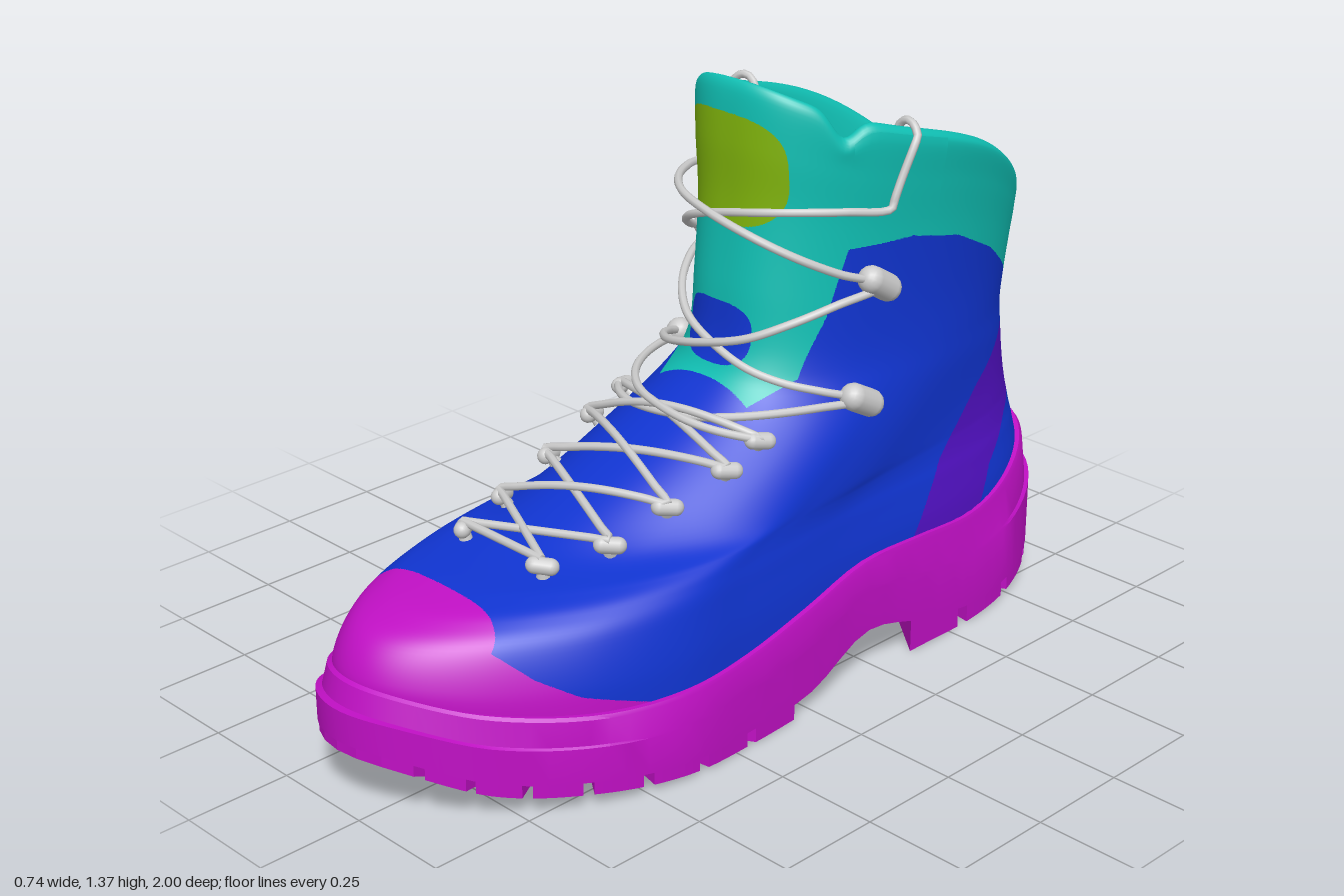
import * as THREE from 'three';
import { toCreasedNormals } from 'three/addons/utils/BufferGeometryUtils.js';

const { clamp, lerp, smoothstep } = THREE.MathUtils;
const mat = (color) => new THREE.MeshStandardMaterial({ color, side: THREE.DoubleSide });
const MAT = {
  toeCap: mat(0xc010c4), collar: mat(0x10c0b4), upper: mat(0x1034d0),
  heelBand: mat(0x5010c0), tonguePatch: mat(0x80b40c), metal: mat(0xcccccc),
};

// Smooth lookup in an evenly spaced list
function spline(a, t) {
  const n = a.length - 1, i = clamp(Math.floor(t), 0, n - 1), f = t - i;
  const [p, q, r, s] = [a[Math.max(i - 1, 0)], a[i], a[i + 1], a[Math.min(i + 2, n)]];
  return q + 0.5 * f * (r - p + f * (2 * p - 5 * q + 4 * r - s + f * (3 * (q - r) + s - p)));
}
// Straight-line lookup in a list of [x, y] with x rising
function line(a, x) {
  let i = 1;
  while (i < a.length - 1 && x > a[i][0]) i++;
  const [p, q] = [a[i - 1], a[i]];
  return lerp(p[1], q[1], clamp((x - p[0]) / (q[0] - p[0]), 0, 1));
}
// Grid surface from f(a, b), optionally closed in a
function grid(f, na, nb, wrap = false) {
  const pos = [], idx = [], cols = wrap ? na : na + 1;
  for (let j = 0; j <= nb; j++)
    for (let i = 0; i < cols; i++) pos.push(...f(i / na, j / nb).toArray());
  for (let j = 0; j < nb; j++)
    for (let i = 0; i < na; i++) {
      const k = (i + 1) % cols, a = j * cols + i, b = j * cols + k;
      idx.push(a, b, a + cols, b, b + cols, a + cols);
    }
  const g = new THREE.BufferGeometry();
  g.setAttribute('position', new THREE.Float32BufferAttribute(pos, 3));
  g.setIndex(idx);
  g.computeVertexNormals();
  return g;
}

// Tables along the foot, heel to toe
const byZ = (a) => (z) => spline(a, (clamp(z, -1, 1) + 1) * 5);
const width = byZ([0.45, 0.415, 0.36, 0.325, 0.32, 0.34, 0.365, 0.402, 0.425, 0.425, 0.42]);
const middle = byZ([0.045, 0.035, 0.035, 0.03, 0.02, 0.01, 0.005, 0, -0.02, -0.045, -0.065]);
const soleTop = byZ([0.4, 0.33, 0.278, 0.283, 0.288, 0.25, 0.215, 0.205, 0.21, 0.24, 0.3]);
const soleBase = byZ([0.09, 0.055, 0.04, 0.07, 0.115, 0.045, 0.035, 0.04, 0.06, 0.09, 0.165]);
const tread = byZ([0.06, 0.02, 0, 0, 0, 0, 0, 0.01, 0.03, 0.06, 0.14]);

// Upper rings from the sole to the collar and down the lining:
// front z, front y, back z, back y, lift off the sole line, foot scale, shaft blend, shaft half width
const RINGS = [
  [0.955, 0.25, -0.955, 0.36, 0, 0.95, 0, 0.28], [0.955, 0.335, -0.95, 0.39, 0.5, 0.925, 0, 0.28],
  [0.915, 0.39, -0.945, 0.42, 0.82, 0.88, 0.04, 0.28], [0.83, 0.413, -0.94, 0.44, 0.95, 0.845, 0.1, 0.28],
  [0.7, 0.425, -0.935, 0.47, 1, 0.825, 0.22, 0.28], [0.5, 0.455, -0.93, 0.5, 1, 0.81, 0.38, 0.28],
  [0.28, 0.55, -0.925, 0.55, 1, 0.79, 0.6, 0.274], [0.05, 0.67, -0.92, 0.63, 1, 0.77, 0.85, 0.264],
  [-0.03, 0.76, -0.922, 0.7, 1, 0.77, 1, 0.255], [-0.05, 0.92, -0.935, 0.76, 1, 0.77, 1, 0.25],
  [-0.065, 1.1, -0.945, 0.81, 1, 0.77, 1, 0.256], [-0.065, 1.24, -0.948, 0.85, 1, 0.77, 1, 0.27],
  [-0.075, 1.355, -0.94, 0.89, 1, 0.77, 1, 0.28], [-0.1, 1.345, -0.905, 0.89, 1, 0.77, 1, 0.238],
  [-0.11, 1.1, -0.89, 0.72, 1, 0.77, 1, 0.215],
];
const COLS = RINGS[0].map((_, k) => RINGS.map((r) => r[k]));

// Point on the upper: angle t from the toe, ring number v
function skin(t, v) {
  const [zf, yf, zb, yb, lift, s, k, w] = COLS.map((c) => spline(c, v));
  const c = Math.cos(t), sn = Math.sin(t), z = lerp(zb, zf, (1 + c) / 2);
  // The shaft is blunter in front than behind
  const blunt = Math.sign(sn) * Math.abs(sn) ** (1 - 0.22 * smoothstep(c, -0.2, 0.6));
  const x = lerp(middle(c) + sn * width(c) * s, 0.014 + blunt * w, k);
  const hump = smoothstep(v, 8, 12) * (1 - c * c) * (0.08 - 0.1 * c);
  const notch = 0.05 * smoothstep(v, 11, 12) * Math.exp(-(((Math.abs(t) - 0.8) / 0.11) ** 2));
  const y = lerp(soleTop(z) - 0.03, lerp(yb, yf, (1 + c) / 2), clamp(lift, 0, 1)) + hump - notch;
  return new THREE.Vector3(x, y, z);
}
function skinNormal(t, v) {
  const e = 0.02;
  const du = skin(t + e, v).sub(skin(t - e, v));
  const dv = skin(t, v + e).sub(skin(t, v - e));
  return du.cross(dv).normalize();
}
const above = (t, v, d) => skin(t, v).addScaledVector(skinNormal(t, v), d);

// Borders of the coloured areas, seen from the side
const collarLine = [[-1, 0.62], [-0.93, 0.68], [-0.82, 0.8], [-0.7, 0.89], [-0.55, 0.965], [-0.4, 1],
  [-0.23, 1], [-0.18, 0.85], [-0.11, 0.72], [0, 0.67], [0.02, 2]];
const bandTop = [[-0.93, 0.68], [-0.8, 0.645], [-0.65, 0.56], [-0.5, 0.43], [-0.37, 0.27], [-0.3, 0]];
const bandLow = [[-0.93, 0.49], [-0.8, 0.44], [-0.68, 0.36], [-0.62, 0.27], [-0.55, 0]];
const toeLine = [[0.2, 0.46], [0.25, 0.62], [0.3, 0.7], [0.36, 0.76], [0.42, 0.71]];
const blob = (x, y, rx, ry) => Math.abs(x / rx) ** 3 + Math.abs(y / ry) ** 3 < 1;
function area({ x, y, z }) {
  if (z > line(toeLine, y)) return 'toeCap';
  if (z > -0.22 && blob(x + 0.005, y - 1.175, 0.16, 0.125)) return 'tonguePatch';
  if (z > -0.2 && y > 0.73 && blob(x, y - 0.805, 0.1, 0.07)) return 'upper';
  if (y > line(collarLine, z)) return 'collar';
  if (z < -0.3 && y < line(bandTop, z) && y > line(bandLow, z)) return 'heelBand';
  return 'upper';
}
// Sort a triangle into its area, splitting it finer along the borders
function sortTriangle(tri, depth, parts) {
  const names = tri.map((c) => area(c.p));
  if (depth === 0 || names.every((n) => n === names[0])) {
    const centre = new THREE.Vector3();
    for (const c of tri) centre.addScaledVector(c.p, 1 / 3);
    const part = (parts[area(centre)] ??= { pos: [], nor: [] });
    for (const c of tri) {
      part.pos.push(c.p.x, c.p.y, c.p.z);
      part.nor.push(c.n.x, c.n.y, c.n.z);
    }
    return;
  }
  const half = (u, w) => ({ p: u.p.clone().lerp(w.p, 0.5), n: u.n.clone().lerp(w.n, 0.5).normalize() });
  const [a, b, c] = tri, ab = half(a, b), bc = half(b, c), ca = half(c, a);
  for (const t of [[a, ab, ca], [ab, b, bc], [ca, bc, c], [ab, bc, ca]]) sortTriangle(t, depth - 1, parts);
}

// Block over a flat outline, fitted between the tread and the sole
function slab(points) {
  const shape = new THREE.Shape(points.map(([x, z]) => new THREE.Vector2(x, -z)));
  const g = new THREE.ExtrudeGeometry(shape, { depth: 1, bevelEnabled: false }).rotateX(-Math.PI / 2);
  const p = g.attributes.position;
  for (let i = 0; i < p.count; i++) {
    const z = p.getZ(i);
    p.setY(i, p.getY(i) > 0.5 ? soleBase(z) + 0.005 : tread(z));
  }
  g.computeVertexNormals();
  return g;
}
const rim = (t, s) => [middle(Math.cos(t)) + s * width(Math.cos(t)) * Math.sin(t), s * Math.cos(t)];
// Edge lug between two angles, running in towards a centre point
function lug(t0, t1, zc, depth) {
  const outer = [], inner = [];
  for (let i = 0; i <= 6; i++) {
    const [x, z] = rim(lerp(t0, t1, i / 6), 0.997);
    outer.push([x, z]);
    inner.unshift([lerp(x, 0, depth), lerp(z, zc, depth)]);
  }
  return slab([...outer, ...inner]);
}

export function createModel() {
  const boot = new THREE.Group();
  const add = (name, geo, material, parent = boot) => {
    const m = new THREE.Mesh(geo, material);
    m.name = name;
    parent.add(m);
    return m;
  };

  // Upper: one skin, split by coloured area
  const NU = 220, NV = 112, VMAX = RINGS.length - 1, parts = {}, q = new THREE.Vector3();
  const whole = grid((a, b) => skin((a * 2 - 1) * Math.PI, b * VMAX), NU, NV, true);
  const { position: p, normal } = whole.attributes, idx = [...whole.index.array];
  const corner = (i) => ({ p: new THREE.Vector3().fromBufferAttribute(p, i), n: new THREE.Vector3().fromBufferAttribute(normal, i) });
  for (let i = 0; i < idx.length; i += 3) sortTriangle(idx.slice(i, i + 3).map(corner), 3, parts);
  for (const [name, { pos, nor }] of Object.entries(parts)) {
    const g = new THREE.BufferGeometry();
    g.setAttribute('position', new THREE.Float32BufferAttribute(pos, 3));
    g.setAttribute('normal', new THREE.Float32BufferAttribute(nor, 3));
    add(name, g, MAT[name]);
  }
  // Collar flaps beside the tongue
  for (const s of [-1, 1])
    add('collarFlap', grid((a, b) => above(s * lerp(0.85, 1.45, a), lerp(10.2, 12, b), 0.012), 12, 12), MAT.collar);

  // Sole wall: scale, height between base and top, inset of the ledge at toe and heel
  const rows = [[1, 0, 0], [1, 0.55, 0], [1, 0.58, 0.018], [0.985, 0.95, 0.018], [0.975, 1, 0.018], [0.9, 1, 0]];
  const wall = grid((a, b) => {
    const [s, h, inset] = rows[Math.round(b * (rows.length - 1))];
    const t = (a * 2 - 1) * Math.PI, [x, z] = rim(t, s - inset * Math.cos(t) ** 2);
    return new THREE.Vector3(x, lerp(soleBase(z), soleTop(z), h), z);
  }, 120, rows.length - 1, true);
  add('soleWall', toCreasedNormals(wall, 0.5), MAT.toeCap);
  // Sole floor, closing the wall below
  const floor = grid((a, b) => {
    const [x, z] = rim(b * Math.PI, 1);
    return new THREE.Vector3(lerp(2 * middle(z) - x, x, a), soleBase(z), z);
  }, 8, 60);
  add('soleFloor', floor, MAT.toeCap);

  // Tread lugs round the edge and across the middle
  const treads = new THREE.Group();
  treads.name = 'treadLugs';
  boot.add(treads);
  const lugRow = (t0, t1, n, zc, deep, shallow) => {
    const step = (t1 - t0) / n;
    for (let i = 0; i < n; i++)
      for (const s of [-1, 1]) {
        const a = s * (t0 + i * step), b = s * (t0 + (i + 0.82) * step);
        add('lug', lug(Math.min(a, b), Math.max(a, b), zc, i % 2 ? shallow : deep), MAT.toeCap, treads);
      }
  };
  lugRow(0.42, 1.54, 7, 0.4, 0.26, 0.17);
  lugRow(1.94, 3.12, 5, -0.62, 0.42, 0.3);
  add('toeLug', lug(-0.38, 0.38, 0.4, 0.1), MAT.toeCap, treads);
  for (const s of [-1, 1])
    for (const [x0, x1, z, dz] of [[0.02, 0.26, 0.06, 0.05], [0.04, 0.19, -0.42, 0.06]]) {
      const bar = [[s * x0, z], [s * x1, z - 0.02], [s * x1, z + dz - 0.02], [s * x0, z + dz]];
      add('bar', slab(s > 0 ? bar : bar.reverse()), MAT.toeCap, treads);
    }

  // Nearest place on the outside of the upper, as signed angle and ring number
  const locate = (goal) => {
    let best = 9, at = 0;
    for (let i = 0; i < NU * 97; i++) {
      const d = q.fromBufferAttribute(p, i).distanceToSquared(goal);
      if (d < best) { best = d; at = i; }
    }
    return [(((at % NU) / NU) * 2 - 1) * Math.PI, (Math.floor(at / NU) / NV) * VMAX];
  };
  const stops = [[0.085, 0.45, 0.55], [0.14, 0.48, 0.41], [0.18, 0.54, 0.28], [0.215, 0.6, 0.14], [0.23, 0.65, 0.04],
    [0.28, 0.66, -0.22], [0.27, 0.915, -0.28], [0.27, 1.1, -0.29]].map((s) => locate(new THREE.Vector3(...s)));

  // Lace holders: small eyelets below, two larger hooks above
  const UP = new THREE.Vector3(0, 1, 0);
  for (const s of [-1, 1])
    stops.slice(0, 7).forEach(([t, v], i) => {
      const hook = i > 4, r = hook ? 0.032 : 0.019;
      const holder = new THREE.Group();
      holder.name = hook ? 'laceHook' : 'laceEyelet';
      holder.position.copy(above(s * t, v, 0.028));
      const out = above(s * (t + 0.1), v, 0.02).sub(holder.position);
      out.y -= hook ? 0.02 : 0;
      holder.quaternion.setFromUnitVectors(UP, out.normalize());
      boot.add(holder);
      add('clip', new THREE.CapsuleGeometry(r, hook ? 0.06 : 0.035, 6, 14), MAT.metal, holder);
      const pin = add('pin', new THREE.CylinderGeometry(r * 0.6, r * 0.8, 0.02, 12), MAT.metal);
      pin.position.copy(above(s * t, v, 0.012));
      pin.quaternion.setFromUnitVectors(UP, skinNormal(s * t, v));
    });

  // Laces: two mirrored zigzags, ending over the collar edge
  const lace = (name, pts) =>
    add(name, new THREE.TubeGeometry(new THREE.CatmullRomCurve3(pts), pts.length * 4, 0.0095, 8), MAT.metal);
  // Stretch that follows the shaft
  const hug = (pts, [t0, v0], [t1, v1], d0, d1, rise) => {
    for (let i = 0; i < 8; i++) {
      const f = i / 8;
      pts.push(above(lerp(t0, t1, f), lerp(v0, v1, f), lerp(d0, d1, f) + rise * Math.sin(f * Math.PI)));
    }
  };
  // Straight stretch over the instep, arched just clear of the skin
  const bridge = (pts, [t0, v0], [t1, v1], gap) => {
    const a = above(t0, v0, 0.045), b = above(t1, v1, 0.045);
    const centre = a.clone().lerp(b, 0.5);
    const near = locate(centre.clone().add(new THREE.Vector3(0, 0.06, 0.03)));
    const n = skinNormal(...near);
    const arch = Math.max(0, above(...near, gap).sub(centre).dot(n));
    for (let i = 0; i < 8; i++)
      pts.push(a.clone().lerp(b, i / 8).addScaledVector(n, arch * Math.sin((i / 8) * Math.PI)));
  };
  for (const s of [-1, 1]) {
    const pts = [];
    let side = s;
    for (let i = 0; i < stops.length - 1; i++, side = -side) {
      const from = [side * stops[i][0], stops[i][1]], to = [-side * stops[i + 1][0], stops[i + 1][1]];
      if (i < 4) bridge(pts, from, to, s > 0 ? 0.035 : 0.016);
      else hug(pts, from, to, 0.04, 0.04, s > 0 ? 0.005 : -0.02);
    }
    const [t, v] = stops[stops.length - 1], top = side * (t + 0.15);
    hug(pts, [side * t, v], [top, 12], 0.04, 0.015, 0);
    hug(pts, [top, 12], [top, 13.3], 0.015, 0.015, 0);
    lace('lace', pts);
  }
  const start = [];
  bridge(start, [-stops[0][0], stops[0][1]], stops[0], 0.02);
  start.push(above(...stops[0], 0.045));
  lace('laceStart', start);
  return boot;
}
